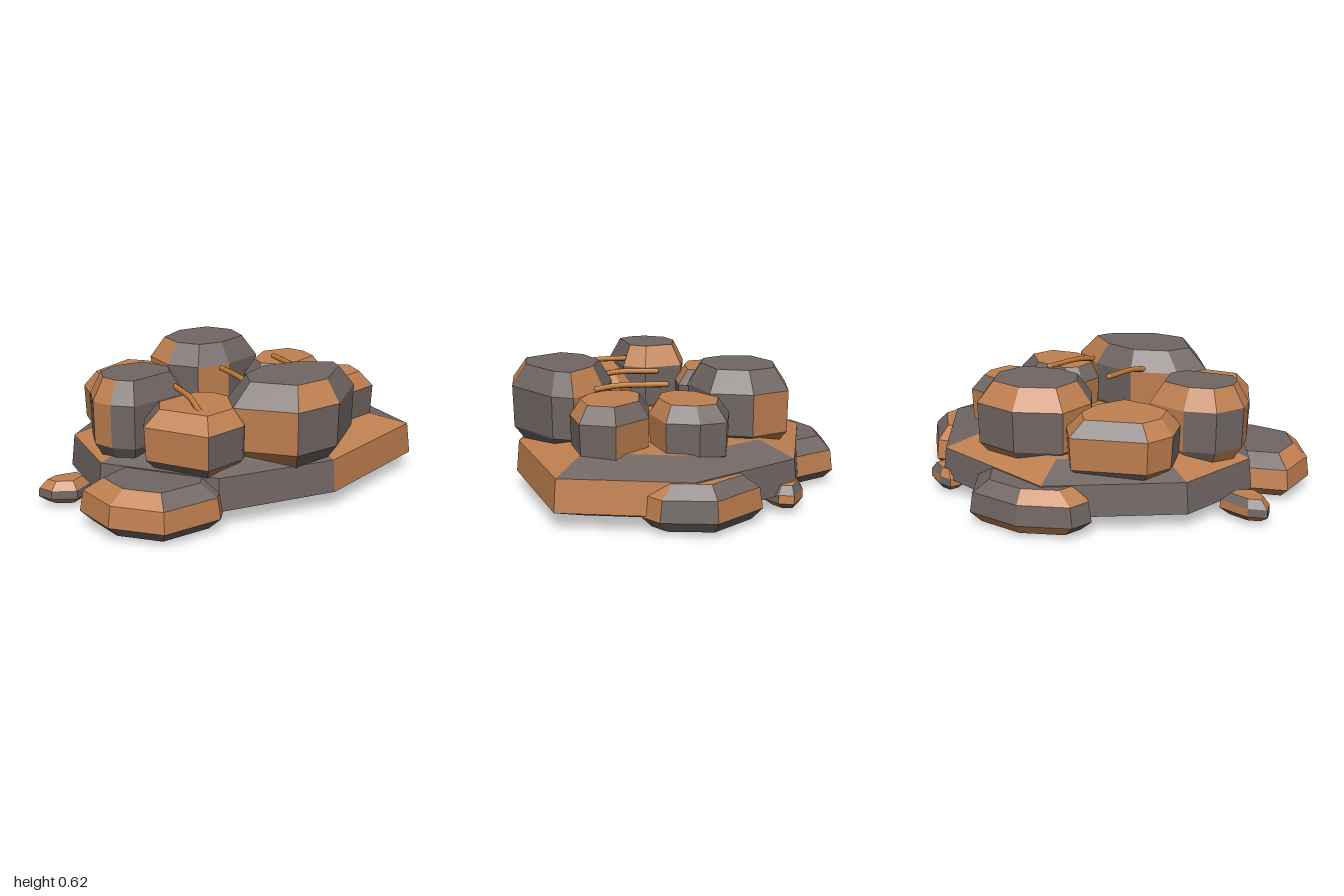
import * as THREE from 'three';

const BROWN = new THREE.MeshStandardMaterial({ color: 0xc08050, flatShading: true });
const GREY = new THREE.MeshStandardMaterial({ color: 0x716764, flatShading: true });
const WOOD = new THREE.MeshStandardMaterial({ color: 0xc07a38 });

// seeded generator for the patchwork of stone colours
let seed = 7;
const rand = () => (seed = (seed * 16807) % 2147483647) / 2147483647;

// Faceted stone: an outline of [x, z] corners, stacked at levels of [y, scale].
function stone(name, outline, levels, greyTop) {
  const n = outline.length;
  const cx = outline.reduce((s, p) => s + p[0], 0) / n;
  const cz = outline.reduce((s, p) => s + p[1], 0) / n;
  let area = 0;
  outline.forEach(([x, z], i) => {
    const [x2, z2] = outline[(i + 1) % n];
    area += x * z2 - x2 * z;
  });
  const pts = area > 0 ? outline : [...outline].reverse();
  const rings = levels.map(([y, s]) => pts.map(([x, z]) => [cx + (x - cx) * s, y, cz + (z - cz) * s]));
  const brown = [], grey = [];

  // side facets, each brown or grey
  for (let k = 0; k < rings.length - 1; k++) {
    const lo = rings[k], hi = rings[k + 1];
    for (let i = 0; i < n; i++) {
      const j = (i + 1) % n;
      const out = rand() < 0.5 ? brown : grey;
      out.push(...lo[j], ...lo[i], ...hi[i], ...lo[j], ...hi[i], ...hi[j]);
    }
  }
  // flat caps
  const bottom = rings[0], top = rings[rings.length - 1];
  const topOut = greyTop ? grey : brown;
  const y0 = levels[0][0], y1 = levels[levels.length - 1][0];
  for (let i = 0; i < n; i++) {
    const j = (i + 1) % n;
    grey.push(cx, y0, cz, ...bottom[i], ...bottom[j]);
    topOut.push(cx, y1, cz, ...top[j], ...top[i]);
  }

  const group = new THREE.Group();
  group.name = name;
  for (const [label, data, mat] of [['BrownFacets', brown, BROWN], ['GreyFacets', grey, GREY]]) {
    const geo = new THREE.BufferGeometry();
    geo.setAttribute('position', new THREE.Float32BufferAttribute(data, 3));
    geo.computeVertexNormals();
    const mesh = new THREE.Mesh(geo, mat);
    mesh.name = name + label;
    group.add(mesh);
  }
  return group;
}

// Bent twig through a few points
function stick(name, points) {
  const curve = new THREE.CatmullRomCurve3(points.map(p => new THREE.Vector3(...p)));
  const group = new THREE.Group();
  group.name = name;
  const tube = new THREE.Mesh(new THREE.TubeGeometry(curve, 10, 0.014, 8), WOOD);
  tube.name = name + 'Shaft';
  group.add(tube);
  for (const p of [points[0], points[points.length - 1]]) {
    const end = new THREE.Mesh(new THREE.SphereGeometry(0.014, 8, 6), WOOD);
    end.name = name + 'End';
    end.position.set(...p);
    group.add(end);
  }
  return group;
}

export function createModel() {
  seed = 7;
  const model = new THREE.Group();
  model.name = 'rockFirePit';

  // level profiles
  const slab = [[0, 0.74], [0.08, 1], [0.235, 0.98], [0.3, 0.74]];
  const tall = [[0.22, 0.72], [0.31, 0.98], [0.515, 1], [0.62, 0.73]];
  const low = [[0.23, 0.8], [0.28, 0.97], [0.44, 1], [0.515, 0.74]];
  const skirt = [[0.02, 0.82], [0.07, 1], [0.17, 0.95], [0.23, 0.68]];
  const pebble = [[0.02, 0.65], [0.05, 1], [0.09, 0.97], [0.13, 0.65]];

  model.add(
    // ground slab
    stone('baseSlab', [[0.05, 0.8], [0.76, 0.65], [0.92, 0.04], [0.6, -0.5], [-0.1, -0.7],
      [-0.68, -0.32], [-0.82, 0.12], [-0.53, 0.64]], slab, false),

    // stones leaning around the slab
    stone('leftSkirtStone', [[-0.98, 0.2], [-1, 0.45], [-0.86, 0.67], [-0.56, 0.69], [-0.42, 0.56],
      [-0.48, 0.28], [-0.75, 0.13]], skirt, true),
    stone('backSkirtStone', [[-0.32, -0.6], [-0.28, -0.71], [-0.04, -0.81], [0.24, -0.78],
      [0.36, -0.55], [0.2, -0.38], [-0.15, -0.38]], skirt, true),
    stone('rightSkirtStone', [[0.8, -0.29], [0.99, -0.05], [0.94, 0.2], [0.84, 0.27], [0.62, 0.2],
      [0.56, -0.05], [0.63, -0.26]], skirt, false),
    stone('leftPebble', [[-1, -0.12], [-0.91, -0.15], [-0.75, -0.11], [-0.77, -0.02], [-0.88, 0.03],
      [-0.98, -0.04]], pebble, false),
    stone('backPebble', [[0.5, -0.48], [0.53, -0.54], [0.6, -0.53], [0.71, -0.46], [0.69, -0.39],
      [0.6, -0.34]], pebble, false),

    // ring of boulders
    stone('frontBoulder', [[-0.27, 0.4], [-0.37, 0.55], [-0.2, 0.8], [0.05, 0.81], [0.34, 0.63],
      [0.39, 0.53], [0.2, 0.37], [-0.04, 0.31]], tall, true),
    stone('backRightBoulder', [[-0.12, -0.25], [-0.08, -0.45], [0.14, -0.55], [0.37, -0.51],
      [0.45, -0.32], [0.38, -0.12], [0.13, -0.055], [-0.04, -0.1]], tall, true),
    stone('backLeftBoulder', [[-0.58, -0.29], [-0.52, -0.43], [-0.17, -0.55], [-0.08, -0.42],
      [-0.09, -0.24], [-0.2, -0.06], [-0.4, -0.07], [-0.54, -0.12]], low, false),
    stone('leftBoulder', [[-0.79, 0.05], [-0.71, -0.09], [-0.56, -0.14], [-0.36, -0.1], [-0.31, 0.1],
      [-0.38, 0.21], [-0.7, 0.25], [-0.77, 0.16]], tall, true),
    stone('frontLeftBoulder', [[-0.71, 0.33], [-0.61, 0.2], [-0.3, 0.18], [-0.23, 0.24], [-0.2, 0.4],
      [-0.27, 0.55], [-0.36, 0.61], [-0.58, 0.63]], low, false),
    stone('frontRightBoulder', [[0.18, 0.36], [0.2, 0.22], [0.27, 0.16], [0.52, 0.19], [0.67, 0.36],
      [0.6, 0.52], [0.4, 0.55], [0.25, 0.48]], low, false),
    stone('rightBoulder', [[0.21, 0.05], [0.26, -0.08], [0.46, -0.2], [0.66, -0.15], [0.69, -0.02],
      [0.64, 0.13], [0.43, 0.18], [0.28, 0.14]], low, false),

    // loose sticks lying across the ring
    stick('middleStick', [[-0.035, 0.55, 0.08], [-0.075, 0.545, 0.27], [-0.1, 0.525, 0.36]]),
    stick('rightStick', [[0.32, 0.555, 0.08], [0.27, 0.545, 0.31], [0.245, 0.525, 0.41]]),
    stick('leftStick', [[-0.42, 0.55, 0.19], [-0.46, 0.54, 0.35], [-0.495, 0.515, 0.45],
      [-0.53, 0.475, 0.56], [-0.545, 0.455, 0.6]])
  );
  return model;
}
